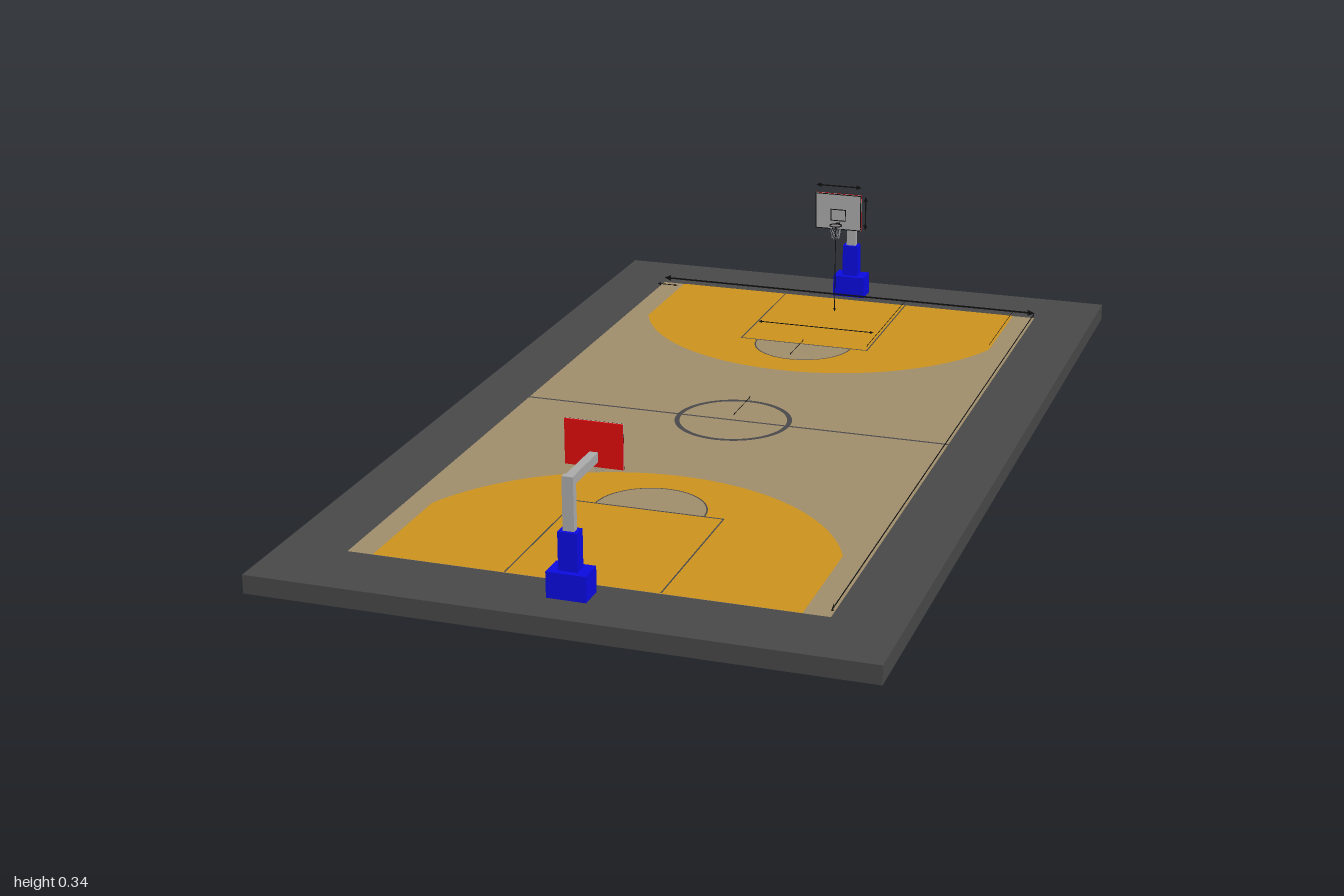
import * as THREE from 'three';

const FLOOR = 0.036;
const mat = (color) => new THREE.MeshStandardMaterial({ color, side: THREE.DoubleSide });
const M = {
  slab: mat(0x484848), wood: mat(0xa08d6b), paint: mat(0xcc921c), line: mat(0x48484a),
  blue: mat(0x0a0ae0), red: mat(0xe00c0c), grey: mat(0xaaaaaa), black: mat(0x111111),
};

function add(parent, name, geo, material, x = 0, y = 0, z = 0) {
  const mesh = new THREE.Mesh(geo, material);
  mesh.name = name;
  mesh.position.set(x, y, z);
  parent.add(mesh);
  return mesh;
}

const box = (parent, name, m, w, h, d, x, y, z) =>
  add(parent, name, new THREE.BoxGeometry(w, h, d), m, x, y, z);

// Flat floor marking; shape y becomes world z, level lifts it above lower layers
function marking(parent, name, shape, m, level) {
  const geo = new THREE.ShapeGeometry(shape, 48);
  geo.scale(1, -1, 1);
  geo.rotateX(-Math.PI / 2);
  // the mirrored winding is turned back so that the marking faces up
  const idx = geo.index.array;
  for (let i = 0; i < idx.length; i += 3) [idx[i], idx[i + 1]] = [idx[i + 1], idx[i]];
  geo.computeVertexNormals();
  return add(parent, name, geo, m, 0, FLOOR + level * 0.0005, 0);
}

function rect(x0, z0, x1, z1) {
  return new THREE.Shape([[x0, z0], [x1, z0], [x1, z1], [x0, z1]].map((p) => new THREE.Vector2(...p)));
}

function ring(cx, cz, outer, inner, a0, a1) {
  const s = new THREE.Shape();
  s.absarc(cx, cz, outer, a0, a1, false);
  s.absarc(cx, cz, inner, a1, a0, true);
  return s;
}

// Floor paint at the +z end
function createEndMarkings() {
  const g = new THREE.Group();
  g.name = 'endMarkings';
  const r = 0.43, cz = 0.755, a = Math.acos(0.4 / r);
  const zone = new THREE.Shape();
  zone.moveTo(-0.4, 0.85);
  zone.lineTo(-0.4, cz - r * Math.sin(a));
  zone.absarc(0, cz, r, Math.PI + a, 2 * Math.PI - a, false);
  zone.lineTo(0.4, 0.85);
  marking(g, 'threePointZone', zone, M.paint, 2);

  const half = new THREE.Shape();
  half.absarc(0, 0.505, 0.107, Math.PI, 2 * Math.PI, false);
  marking(g, 'freeThrowHalfCircle', half, M.wood, 3);
  marking(g, 'freeThrowArc', ring(0, 0.505, 0.109, 0.106, Math.PI, 2 * Math.PI), M.line, 4);
  marking(g, 'freeThrowLine', rect(-0.147, 0.503, 0.147, 0.507), M.line, 4);
  for (const s of [-1, 1])
    marking(g, 'keySideLine', rect(s * 0.1455 - 0.0015, 0.505, s * 0.1455 + 0.0015, 0.85), M.line, 4);
  return g;
}

// Hoop stand at the +z end, facing the court centre
function createHoop() {
  const g = new THREE.Group();
  g.name = 'hoop';
  box(g, 'base', M.blue, 0.074, 0.049, 0.05, 0, FLOOR + 0.0245, 0.9);
  box(g, 'postPadding', M.blue, 0.036, 0.073, 0.027, 0, 0.1205, 0.9);
  box(g, 'post', M.grey, 0.021, 0.1, 0.014, 0, 0.207, 0.9);
  box(g, 'arm', M.grey, 0.016, 0.018, 0.125, 0, 0.247, 0.843);

  // Backboard: red back, grey front with outlines
  box(g, 'backboardBack', M.red, 0.108, 0.084, 0.003, 0, 0.27, 0.7805);
  box(g, 'backboardFront', M.grey, 0.108, 0.084, 0.002, 0, 0.27, 0.778);
  const frame = (name, w, h, y) => {
    const t = 0.002;
    for (const s of [-1, 1]) {
      box(g, name, M.black, t, h, 0.001, s * (w - t) / 2, y, 0.7768);
      box(g, name, M.black, w, t, 0.001, 0, y + s * (h - t) / 2, 0.7768);
    }
  };
  frame('backboardBorder', 0.108, 0.084, 0.27);
  frame('targetSquare', 0.036, 0.028, 0.262);

  // Rim, bracket and net
  const rimY = 0.243, rimZ = 0.757, rimR = 0.0135;
  add(g, 'rim', new THREE.TorusGeometry(rimR, 0.0013, 8, 32).rotateX(Math.PI / 2), M.black, 0, rimY, rimZ);
  box(g, 'rimBracket', M.black, 0.008, 0.003, 0.008, 0, rimY, 0.774);
  const knot = (angle, t) => {
    const r = rimR * (1 - 0.4 * t);
    return new THREE.Vector3(Math.cos(angle) * r, rimY - 0.031 * t, rimZ + Math.sin(angle) * r);
  };
  const n = 8, step = (2 * Math.PI) / n;
  for (let i = 0; i < n; i++)
    for (const s of [-1, 1]) {
      const pts = [0, 1, 2, 3].map((k) => knot((i + (s * k) / 2) * step, k / 3));
      add(g, 'netStrand', new THREE.TubeGeometry(new THREE.CatmullRomCurve3(pts), 6, 0.0004, 4), M.grey);
    }
  return g;
}

// Upright flat double arrow centred on a point, along axis x, y or z
function arrow(parent, name, axis, length, x, y, z, t = 0.002) {
  const L = length / 2, h = t * 1.8, k = Math.min(t * 4, L * 0.4), w = t / 2;
  const pts = [[-L, 0], [-L + k, -h], [-L + k, -w], [L - k, -w], [L - k, -h], [L, 0],
    [L - k, h], [L - k, w], [-L + k, w], [-L + k, h]];
  const geo = new THREE.ShapeGeometry(new THREE.Shape(pts.map((p) => new THREE.Vector2(...p))));
  if (axis === 'y') geo.rotateZ(Math.PI / 2);
  if (axis === 'z') geo.rotateY(Math.PI / 2);
  add(parent, name, geo, M.black, x, y, z);
}

function createDimensionArrows() {
  const g = new THREE.Group();
  g.name = 'dimensionArrows';
  const y = 0.048;
  arrow(g, 'courtLengthArrow', 'z', 1.7, 0.45, y, 0, 0.004);
  arrow(g, 'courtWidthArrow', 'x', 0.9, 0, y, -0.85, 0.004);
  arrow(g, 'sideMarginArrow', 'x', 0.05, -0.425, y, -0.8);
  arrow(g, 'cornerLineArrow', 'z', 0.25, 0.4, y, -0.725);
  arrow(g, 'keyLengthArrow', 'z', 0.345, 0.145, y, -0.6775);
  arrow(g, 'keyWidthArrow', 'x', 0.27, 0, y, -0.6);
  arrow(g, 'freeThrowRadiusArrow', 'z', 0.107, 0, y, -0.4515);
  arrow(g, 'centreRadiusArrow', 'z', 0.115, 0, y, -0.0575);
  arrow(g, 'rimHeightArrow', 'y', 0.205, 0, 0.1385, -0.757);
  arrow(g, 'backboardWidthArrow', 'x', 0.108, 0, 0.33, -0.78, 0.003);
  arrow(g, 'backboardHeightArrow', 'y', 0.08, 0.064, 0.27, -0.78, 0.003);
  arrow(g, 'backboardSetbackArrow', 'z', 0.07, 0, 0.295, -0.815);
  return g;
}

export function createModel() {
  const model = new THREE.Group();
  model.name = 'basketballCourt';
  box(model, 'slab', M.slab, 1.16, FLOOR, 2, 0, FLOOR / 2, 0);
  marking(model, 'courtFloor', rect(-0.45, -0.85, 0.45, 0.85), M.wood, 1);
  marking(model, 'centreLine', rect(-0.45, -0.003, 0.45, 0.003), M.line, 2);
  const circle = new THREE.Shape().absarc(0, 0, 0.12, 0, 2 * Math.PI, false);
  circle.holes.push(new THREE.Path().absarc(0, 0, 0.11, 0, 2 * Math.PI, true));
  marking(model, 'centreCircle', circle, M.line, 3);

  // Both ends are the same, turned half round
  for (const [name, turn] of [['frontEnd', 0], ['backEnd', Math.PI]]) {
    const end = new THREE.Group();
    end.name = name;
    end.add(createEndMarkings(), createHoop());
    end.rotation.y = turn;
    model.add(end);
  }
  model.add(createDimensionArrows());
  return model;
}
